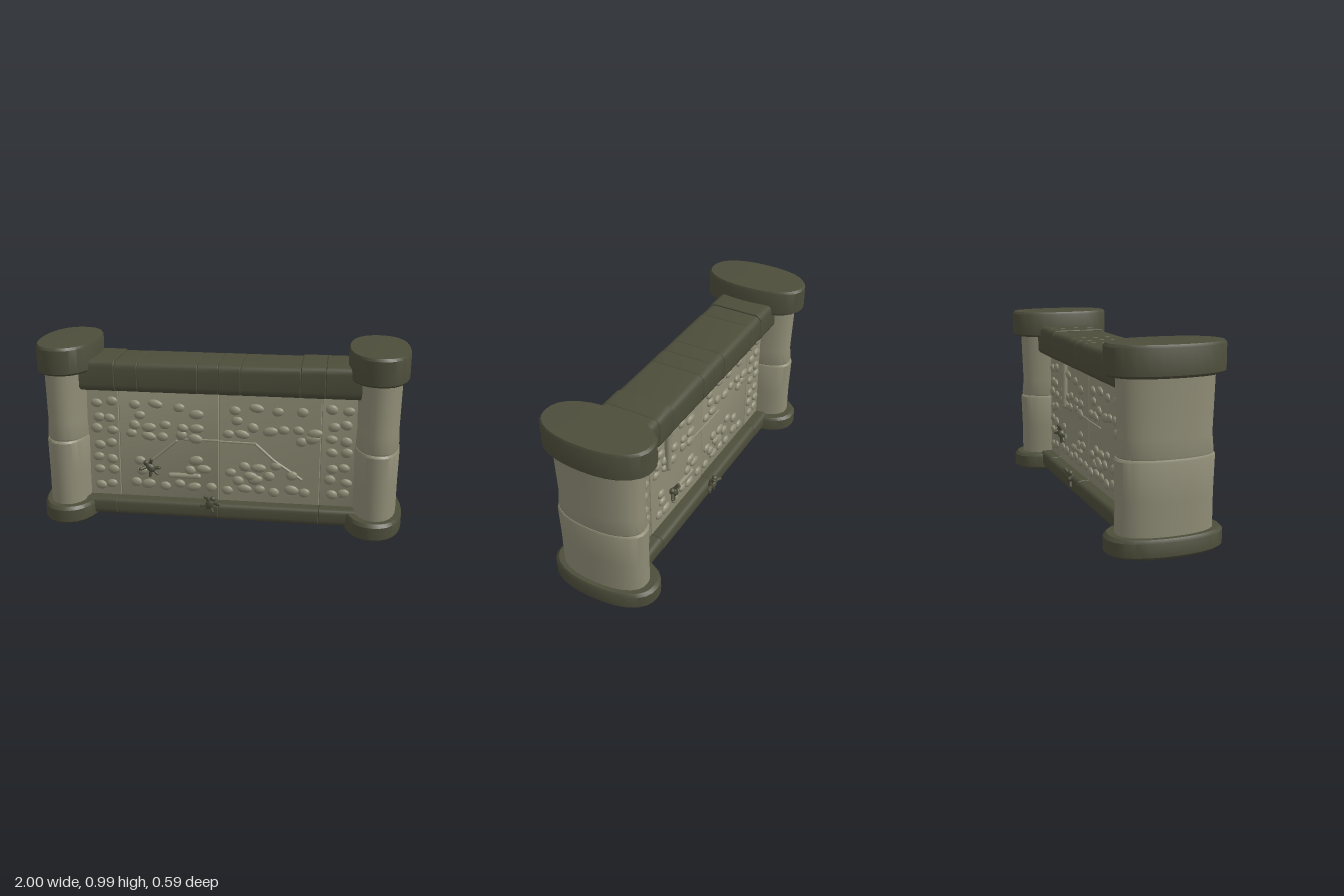
import * as THREE from 'three';
import { toCreasedNormals } from 'three/addons/utils/BufferGeometryUtils.js';

const paleStone = new THREE.MeshStandardMaterial({ name: 'paleStone', color: 0x8f8d76 });
const darkStone = new THREE.MeshStandardMaterial({ name: 'darkStone', color: 0x4d4d3b });
const PANEL_Z = 0.09;

function add(parent, name, geometry, material, x = 0, y = 0, z = 0) {
  const mesh = new THREE.Mesh(geometry, material);
  mesh.name = name;
  mesh.position.set(x, y, z);
  parent.add(mesh);
  return mesh;
}

// Oval drum from a profile of [half width, y]; stretched along z and slightly squared
function ovalDrum(profile, stretchZ, power = 2.3) {
  const pts = profile.map(([r, y]) => new THREE.Vector2(r, y));
  const geo = new THREE.LatheGeometry(pts, 28);
  const p = geo.attributes.position;
  for (let i = 0; i < p.count; i++) {
    const x = p.getX(i), z = p.getZ(i), r = Math.hypot(x, z);
    if (r < 1e-5) continue;
    const c = Math.abs(x / r), s = Math.abs(z / r);
    const k = Math.pow(c ** power + s ** power, -1 / power);
    p.setXYZ(i, x * k, p.getY(i), z * k * stretchZ);
  }
  return toCreasedNormals(geo, 0.6);
}

// Rounded rod between two points
function rod(parent, name, material, a, b, radius) {
  const from = new THREE.Vector3(...a), to = new THREE.Vector3(...b);
  const dir = to.clone().sub(from);
  const mesh = add(parent, name, new THREE.CapsuleGeometry(radius, dir.length(), 3, 8), material);
  mesh.position.copy(from).add(to).multiplyScalar(0.5);
  mesh.quaternion.setFromUnitVectors(new THREE.Vector3(0, 1, 0), dir.normalize());
}

function pillar(side) {
  const g = new THREE.Group();
  g.name = side > 0 ? 'leftPillar' : 'rightPillar';
  const cap = [[0, 0.843], [0.152, 0.843], [0.161, 0.855], [0.161, 0.98], [0.155, 0.994], [0, 0.997]];
  const base = [[0, 0.004], [0.152, 0.006], [0.161, 0.018], [0.161, 0.085], [0.152, 0.102], [0, 0.102]];
  const upper = [[0, 0.467], [0.117, 0.467], [0.119, 0.475], [0.115, 0.56], [0.12, 0.85]];
  const lower = [[0.12, 0.095], [0.12, 0.27], [0.123, 0.455], [0.119, 0.466], [0, 0.466]];
  add(g, 'pillarCap', ovalDrum(cap, 1.84), darkStone);
  add(g, 'pillarBase', ovalDrum(base, 1.84), darkStone);
  add(g, 'upperShaft', ovalDrum(upper, 2.03), paleStone, 0.008);
  add(g, 'lowerShaft', ovalDrum(lower, 2.03), paleStone, 0.008);
  g.position.x = 0.839 * side;
  if (side < 0) g.rotation.y = Math.PI;
  return g;
}

// Block lying along x: rounded cross-section with thin bevels at the joints
function blockGeometry(length, height, depth, radius) {
  const bevel = 0.004, w = depth / 2 - bevel, h = height / 2 - bevel, r = radius;
  const s = new THREE.Shape();
  s.moveTo(w, r - h);
  s.lineTo(w, h - r).quadraticCurveTo(w, h, w - r, h);
  s.lineTo(r - w, h).quadraticCurveTo(-w, h, -w, h - r);
  s.lineTo(-w, r - h).quadraticCurveTo(-w, -h, r - w, -h);
  s.lineTo(w - r, -h).quadraticCurveTo(w, -h, w, r - h);
  const geo = new THREE.ExtrudeGeometry(s, {
    depth: length - 2 * bevel, bevelEnabled: true, bevelSize: bevel, bevelThickness: bevel,
    bevelSegments: 1, curveSegments: 4,
  });
  geo.translate(0, 0, bevel - length / 2).rotateY(Math.PI / 2);
  return toCreasedNormals(geo, 0.6);
}

// Row of blocks laid between the given joints
function blockRow(parent, name, joints, y0, y1, halfZ, radius, material, dip = 0) {
  for (let i = 0; i < joints.length - 1; i++) {
    const w = joints[i + 1] - joints[i], x = joints[i] + w / 2;
    const top = Math.abs(x) < 0.5 ? y1 - dip : y1;
    add(parent, name, blockGeometry(w, top - y0, 2 * halfZ - (i % 2) * 0.004, radius),
      material, x, (top + y0) / 2, 0);
  }
}

// Rows of pebbles on the two wide panels: y, first x, count, spacing
const pebbleRows = [
  [0.65, -0.47, 3, 0.12], [0.6, -0.45, 2, 0.33], [0.53, -0.48, 5, 0.09], [0.475, -0.49, 5, 0.09],
  [0.33, -0.44, 2, 0.3], [0.29, -0.16, 2, 0.07], [0.26, -0.44, 1, 0], [0.19, -0.48, 6, 0.085],
  [0.645, 0.08, 4, 0.12], [0.585, 0.1, 1, 0], [0.535, 0.19, 5, 0.08], [0.5, 0.05, 2, 0.075],
  [0.485, 0.44, 2, 0.07], [0.32, 0.13, 3, 0.09], [0.27, 0.06, 4, 0.11], [0.235, 0.11, 2, 0.08],
  [0.185, 0.05, 6, 0.085],
];

function pebble(parent, x, y, seed, w) {
  const m = add(parent, 'pebble', new THREE.SphereGeometry(1, 12, 6), paleStone,
    x + 0.008 * Math.sin(seed * 3.7), y + 0.01 * Math.sin(seed * 2.3), PANEL_Z);
  m.scale.set(w, 0.026 + 0.002 * Math.sin(seed * 5.1), 0.016);
  m.rotation.z = 0.2 * Math.sin(seed * 4.3);
}

// Small crawling creature clinging to the wall
function critter(x, y, z, turn) {
  const g = new THREE.Group();
  g.name = 'critter';
  const ball = new THREE.SphereGeometry(1, 10, 8);
  add(g, 'critterBody', ball, darkStone, 0, 0, 0.01).scale.set(0.022, 0.034, 0.024);
  add(g, 'critterHead', ball, darkStone, 0, 0.034, 0.014).scale.setScalar(0.016);
  for (const s of [-1, 1]) {
    rod(g, 'critterFrontLeg', darkStone, [s * 0.01, 0.012, 0.01], [s * 0.042, 0.03, 0.032], 0.009);
    rod(g, 'critterBackLeg', darkStone, [s * 0.01, -0.015, 0.01], [s * 0.035, -0.035, 0.012], 0.009);
  }
  rod(g, 'critterTail', darkStone, [0, -0.02, 0.01], [0, -0.055, 0.008], 0.007);
  g.position.set(x, y, z);
  g.rotation.z = turn;
  return g;
}

// Relief found on each broad side of the wall
function wallFace(isFront) {
  const g = new THREE.Group();
  g.name = isFront ? 'frontRelief' : 'backRelief';
  const z = PANEL_Z;
  // Every third pebble of a row is a wider one
  pebbleRows.forEach(([y, x, count, step], row) => {
    for (let i = 0; i < count; i++) pebble(g, x + i * step, y, row * 2 + i, i % 3 === 1 ? 0.042 : 0.032);
  });
  // Two columns of pebbles on each narrow end panel
  for (const x of [-0.68, -0.605, 0.61, 0.685])
    for (let i = 0; i < 7; i++) pebble(g, x, 0.18 + i * 0.079, i + x * 9, 0.033);
  rod(g, 'longStone', paleStone, [-0.275, 0.248, z], [-0.12, 0.248, z], 0.016);

  rod(g, 'ledge', paleStone, [-0.23, 0.462, z], [-0.01, 0.462, z], 0.006);
  rod(g, 'ledge', paleStone, [0, 0.458, z], [0.2, 0.455, z], 0.006);
  if (isFront) {
    rod(g, 'slantedRidge', paleStone, [-0.24, 0.45, z], [-0.38, 0.33, z], 0.008);
    rod(g, 'slantedRidge', paleStone, [0.2, 0.45, z], [0.3, 0.36, z], 0.008);
    rod(g, 'slantedRidge', paleStone, [0.3, 0.36, z], [0.45, 0.26, z], 0.008);
  } else {
    rod(g, 'uprightBar', paleStone, [-0.39, 0.74, z + 0.015], [-0.39, 0.47, z + 0.015], 0.018);
  }
  g.add(critter(-0.38, 0.305, z + 0.03, 0.75), critter(-0.04, 0.13, 0.175, -0.5));
  if (!isFront) g.rotation.y = Math.PI;
  return g;
}

export function createModel() {
  const model = new THREE.Group();
  model.name = 'stoneWall';
  model.add(pillar(1), pillar(-1));

  // Wall body, coping on top and plinth below
  blockRow(model, 'wallPanel', [-0.8, -0.56, -0.005, 0.55, 0.8], 0.07, 0.78, PANEL_Z, 0.01, paleStone);
  blockRow(model, 'copingBlock', [-0.8, -0.56, -0.435, -0.11, 0, 0.12, 0.435, 0.565, 0.8],
    0.735, 0.908, 0.165, 0.035, darkStone, 0.007);
  blockRow(model, 'plinthBlock', [-0.8, -0.57, 0, 0.55, 0.8], 0.022, 0.115, 0.16, 0.025, darkStone);

  model.add(wallFace(true), wallFace(false));
  return model;
}
